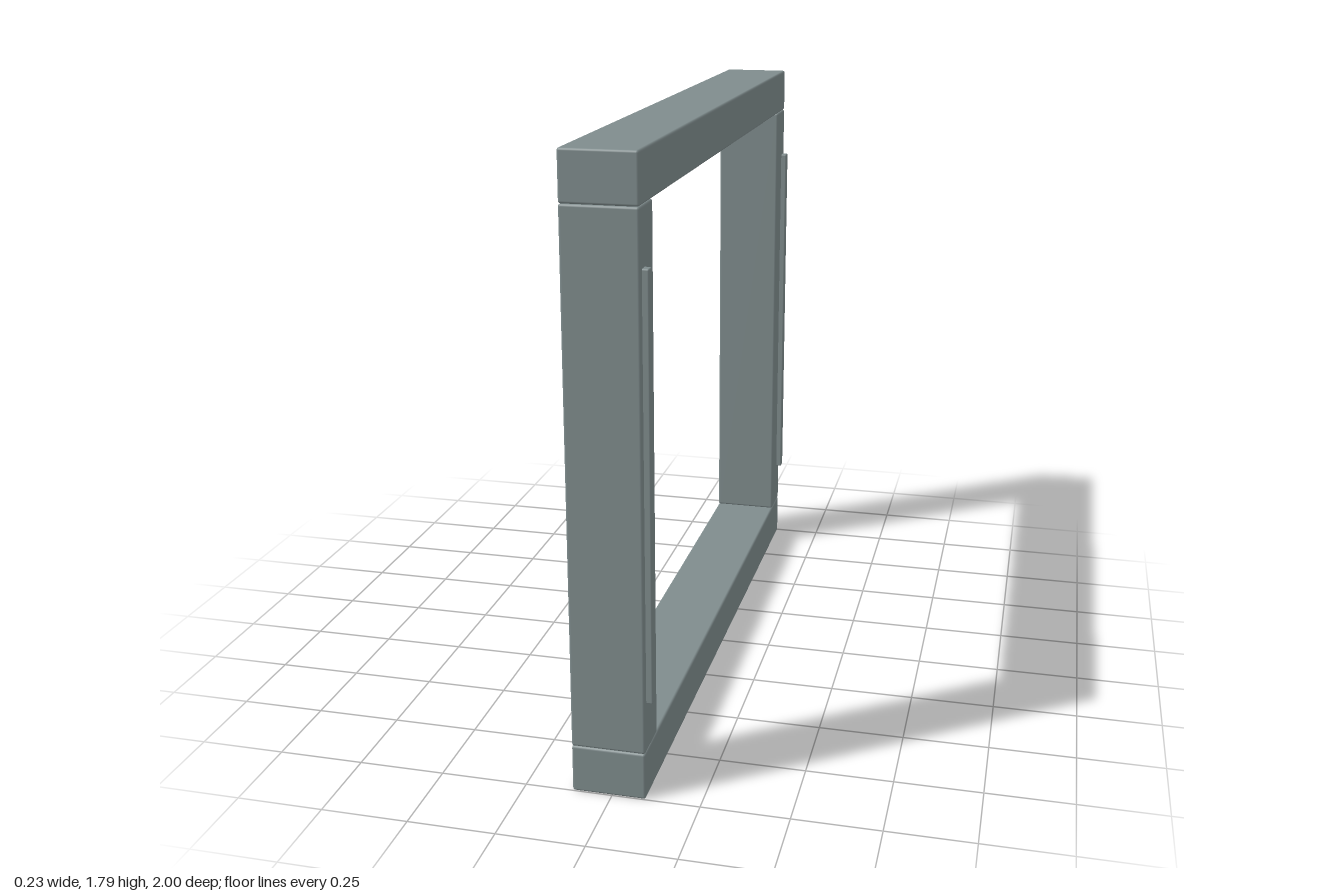
import * as THREE from 'three';
import { RoundedBoxGeometry } from 'three/addons/geometries/RoundedBoxGeometry.js';

export function createModel() {
  const model = new THREE.Group();
  model.name = 'doorFrame';
  const greyPaint = new THREE.MeshStandardMaterial({ color: 0x7f8c8d });
  greyPaint.name = 'greyPaint';

  // Soft-edged box given by its lower and upper limits on each axis
  function block(name, [x0, x1], [y0, y1], [z0, z1], radius) {
    const geometry = new RoundedBoxGeometry(x1 - x0, y1 - y0, z1 - z0, 2, radius);
    const mesh = new THREE.Mesh(geometry, greyPaint);
    mesh.position.set((x0 + x1) / 2, (y0 + y1) / 2, (z0 + z1) / 2);
    mesh.name = name;
    model.add(mesh);
  }

  const depth = [-0.114, 0.096];
  const beam = 0.139, height = 1.787, edge = 0.007;

  // Sill and header run the full width
  block('sill', depth, [0, beam], [-1, 1], edge);
  block('header', depth, [height - beam, height], [-1, 1], edge);

  // Posts between them, each with a thin raised strip on the +x face
  for (const side of [1, -1]) {
    const span = (a, b) => [side * a, side * b].sort((p, q) => p - q);
    const label = side > 0 ? 'front' : 'back';
    block(label + 'Post', depth, [beam, height - beam], span(0.87, 1), edge);
    block(label + 'Strip', [0.084, 0.114], [0.285, 1.49], span(0.95, 0.982), 0.004);
  }
  return model;
}
